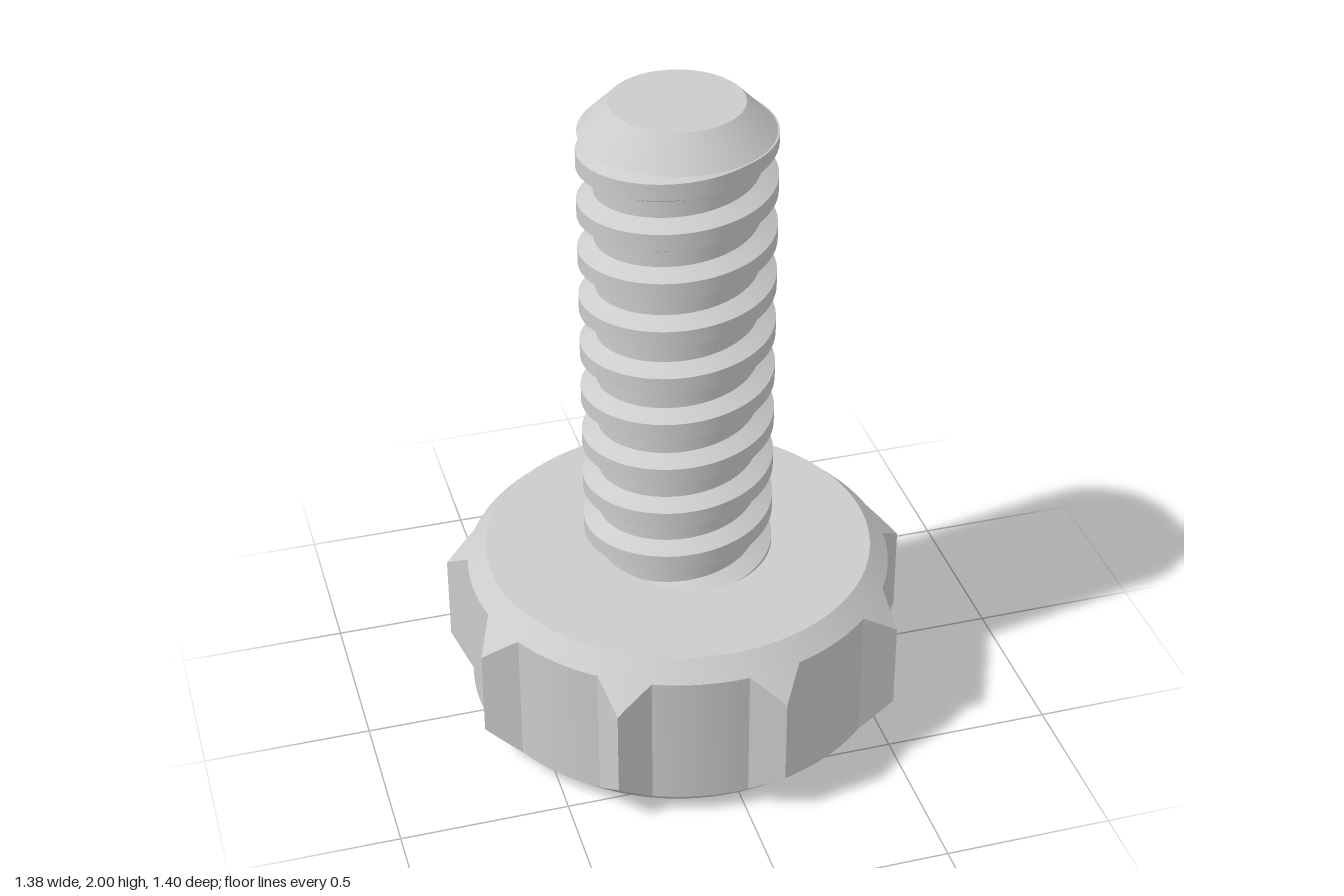
import * as THREE from 'three';
import { toCreasedNormals } from 'three/addons/utils/BufferGeometryUtils.js';

const AXIS_X = -0.02;
const material = new THREE.MeshStandardMaterial({ color: 0xcccccc });

// Point at radius r, angle a (counter-clockwise from above), height y
const polar = (r, a, y) => new THREE.Vector3(r * Math.cos(a), y, -r * Math.sin(a));

// Skin a stack of rings, listed from bottom to top, leaving out collapsed triangles
function loft(rings) {
  const pos = [];
  const tri = (a, b, c) => {
    const area = b.clone().sub(a).cross(c.clone().sub(a)).length();
    if (area > 1e-8) for (const p of [a, b, c]) pos.push(p.x, p.y, p.z);
  };
  for (let i = 0; i < rings.length - 1; i++) {
    for (let j = 0; j < rings[i].length - 1; j++) {
      const a = rings[i][j], b = rings[i][j + 1];
      const c = rings[i + 1][j], d = rings[i + 1][j + 1];
      tri(a, b, c);
      tri(b, d, c);
    }
  }
  const geometry = new THREE.BufferGeometry();
  geometry.setAttribute('position', new THREE.Float32BufferAttribute(pos, 3));
  return toCreasedNormals(geometry, 0.45);
}

// Round knob with nine pointed grip ridges, chamfered at 45 degrees above and below
function knobGeometry() {
  const height = 0.53, faceR = 0.58, bodyR = 0.636, tipR = 0.71;
  const ridges = 9, half = 0.126, step = (Math.PI * 2) / ridges;
  const outline = [];
  const base = [bodyR * Math.cos(half), bodyR * Math.sin(half)];
  for (let k = 0; k < ridges; k++) {
    // straight ridge flanks
    for (let i = -4; i <= 4; i++) {
      const t = Math.abs(i) / 4;
      const u = tipR + (base[0] - tipR) * t, v = Math.sign(i) * base[1] * t;
      outline.push([Math.hypot(u, v), k * step + Math.atan2(v, u)]);
    }
    // round body up to the next ridge
    for (let i = 1; i < 8; i++) {
      outline.push([bodyR, k * step + half + ((step - 2 * half) * i) / 8]);
    }
  }
  outline.push(outline[0]);
  const ring = (f) => outline.map(([r, a]) => polar(...f(r, a)));
  return loft([
    ring((r, a) => [0, a, 0]),
    ring((r, a) => [faceR, a, 0]),
    ring((r, a) => [r, a, r - faceR]),
    ring((r, a) => [r, a, height - (r - faceR)]),
    ring((r, a) => [faceR, a, height]),
    ring((r, a) => [0, a, height]),
  ]);
}

// Right-hand screw thread: a trapezoid profile that climbs one pitch per turn
function threadGeometry() {
  const pitch = 0.1534, crestR = 0.282, rootR = 0.235;
  const bottom = 0.5, top = 1.913, segments = 72;
  const crestHalf = 0.025, rootHalf = 0.052; // half heights of crest and of whole ridge
  const crestAtZero = 0.534;

  const radiusAt = (y, middle) => {
    let d = (y - middle) / pitch;
    d = Math.abs(d - Math.round(d)) * pitch;
    const t = THREE.MathUtils.clamp((d - crestHalf) / (rootHalf - crestHalf), 0, 1);
    return crestR + (rootR - crestR) * t;
  };

  const rings = [];
  const addRing = (offset, inner) => {
    const ring = [];
    for (let j = 0; j <= segments; j++) {
      const a = (j / segments) * Math.PI * 2;
      const middle = crestAtZero + (pitch * j) / segments;
      const y = THREE.MathUtils.clamp(middle + offset, bottom, top);
      ring.push(polar(inner ?? radiusAt(y, middle), a, y));
    }
    rings.push(ring);
  };
  for (let k = -2; k <= 10; k++) {
    for (const d of [-rootHalf, -crestHalf, crestHalf, rootHalf]) addRing(k * pitch + d);
  }
  addRing(10 * pitch + rootHalf, 0.15); // closes the upper end
  return loft(rings);
}

// Chamfered end of the shaft
function tipGeometry() {
  const radius = 0.277, flat = 0.19, low = 1.913;
  return new THREE.CylinderGeometry(flat, radius, 2 - low, 72).translate(0, (2 + low) / 2, 0);
}

export function createModel() {
  const group = new THREE.Group();
  group.name = 'thumbScrew';
  const parts = { knob: knobGeometry(), threadedShaft: threadGeometry(), shaftTip: tipGeometry() };
  for (const [name, geometry] of Object.entries(parts)) {
    const mesh = new THREE.Mesh(geometry, material);
    mesh.name = name;
    mesh.position.x = AXIS_X;
    group.add(mesh);
  }
  return group;
}
